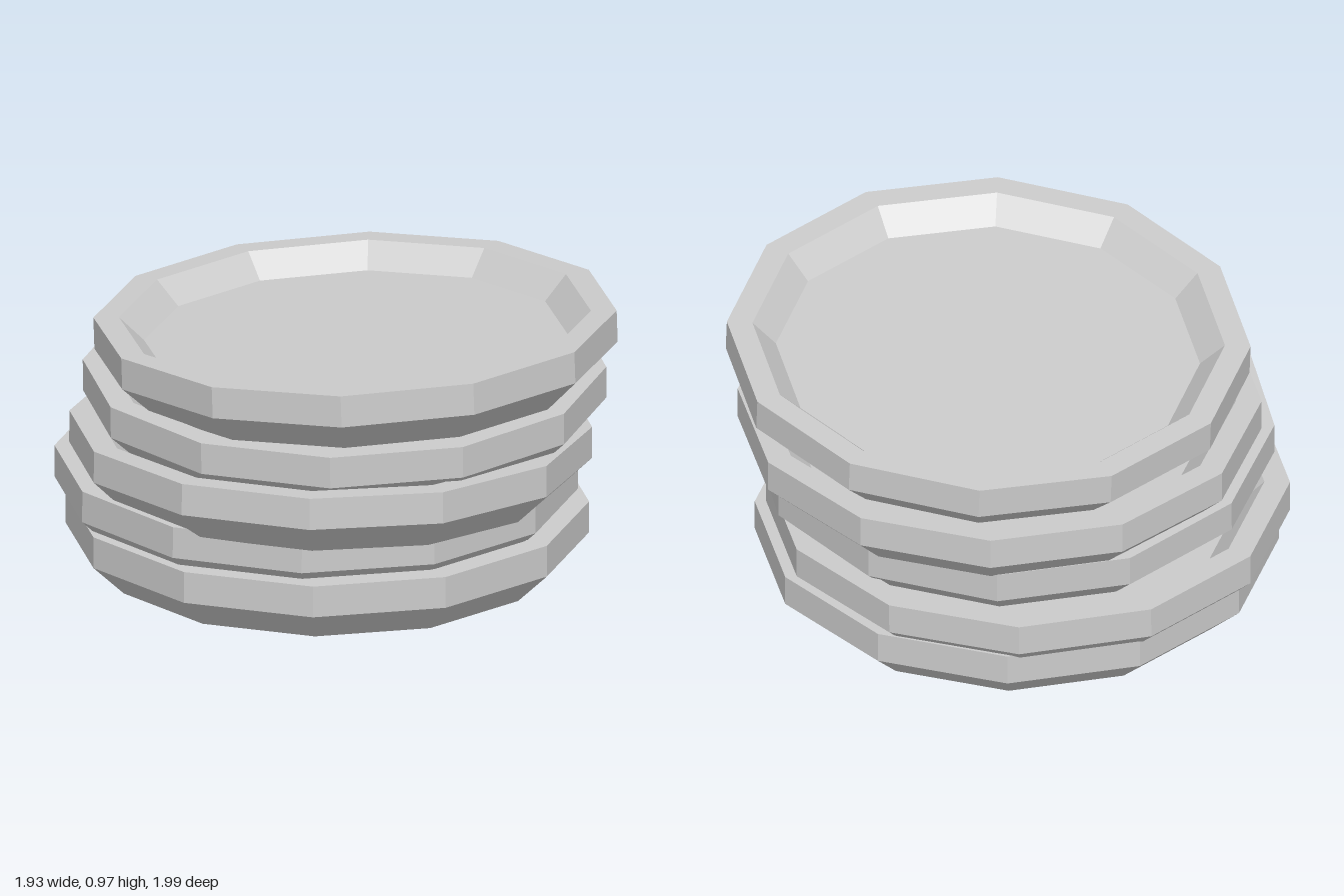
import * as THREE from 'three';

// Rim height at which each plate is centred and tilted
const PIVOT = 0.17;

// Half cross-section of one plate: base, flared side, upright rim, sunken floor
const PROFILE = [
  [0, 0], [0.8, 0], [0.92, 0.115], [0.92, 0.23],
  [0.83, 0.23], [0.745, 0.145], [0, 0.145],
].map(([r, y]) => new THREE.Vector2(r, y - PIVOT));

// Plates from bottom to top: position, slope along x and z, small turn
const PLATES = [
  { x: -0.02, y: 0, z: -0.02, slopeX: 0, slopeZ: 0, turn: 0 },
  { x: -0.035, y: 0.152, z: -0.077, slopeX: -0.003, slopeZ: -0.006, turn: 0 },
  { x: -0.05, y: 0.323, z: 0.065, slopeX: -0.024, slopeZ: 0.032, turn: -0.025 },
  { x: 0.043, y: 0.492, z: -0.01, slopeX: 0.014, slopeZ: -0.014, turn: 0 },
  { x: 0.043, y: 0.702, z: 0.075, slopeX: 0.014, slopeZ: 0.044, turn: 0 },
];

export function createModel() {
  const group = new THREE.Group();
  group.name = 'plateStack';
  const material = new THREE.MeshStandardMaterial({ color: 0xcccccc, flatShading: true });
  const geometry = new THREE.LatheGeometry(PROFILE, 12);

  // Loosely stacked, slightly tilted plates
  PLATES.forEach((p, i) => {
    const plate = new THREE.Mesh(geometry, material);
    plate.name = `plate${i + 1}`;
    plate.position.set(p.x, p.y + PIVOT, p.z);
    plate.rotation.set(-p.slopeZ, p.turn, p.slopeX);
    group.add(plate);
  });
  return group;
}
